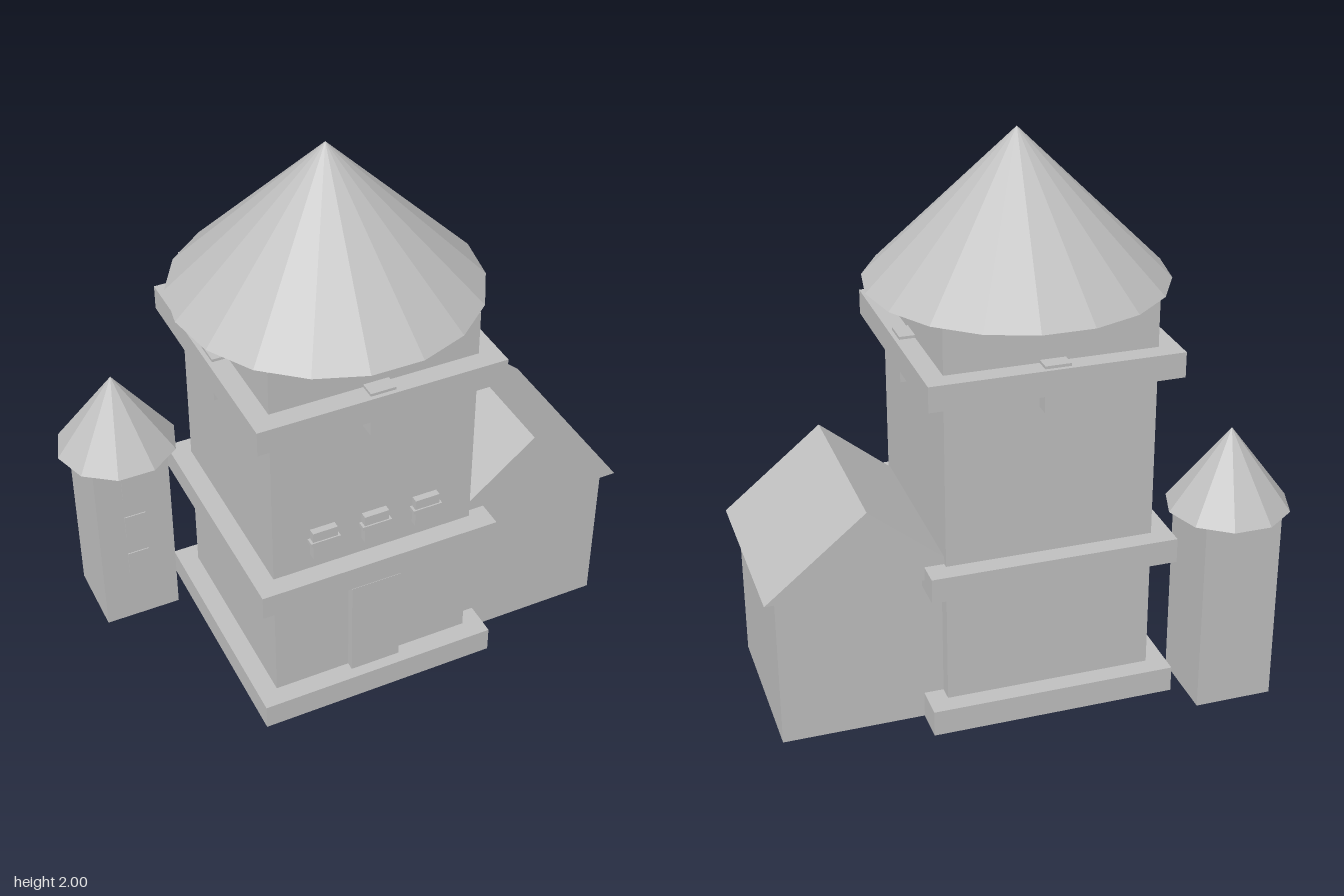
import * as THREE from 'three';

export function createModel() {
  const model = new THREE.Group();
  const stone = new THREE.MeshStandardMaterial({ color: 0xc0c0c0 });
  stone.name = 'grey stone';
  stone.flatShading = true;
  stone.side = THREE.DoubleSide;

  const add = (name, geometry, x, y, z) => {
    const mesh = new THREE.Mesh(geometry, stone);
    mesh.name = name;
    mesh.position.set(x, y, z);
    model.add(mesh);
    return mesh;
  };
  // Box given by its centre in plan, its bottom and its top
  const block = (name, w, d, x, z, y0, y1) =>
    add(name, new THREE.BoxGeometry(w, y1 - y0, d), x, (y0 + y1) / 2, z);
  // Open cone roof with corners on the x axis
  const coneRoof = (name, r, sides, x, z, y0, y1) => {
    const g = new THREE.ConeGeometry(r, y1 - y0, sides, 1, true);
    g.rotateY(Math.PI / 2);
    return add(name, g, x, (y0 + y1) / 2, z);
  };

  const cx = -0.07, cz = 0.06;

  // Main tower with three projecting bands
  block('mainTower', 0.74, 0.74, cx, cz, 0, 1.48);
  [['baseBand', 0, 0.095], ['middleBand', 0.53, 0.62], ['upperBand', 1.23, 1.32]]
    .forEach(([name, y0, y1]) => block(name, 0.88, 0.88, cx, cz, y0, y1));
  coneRoof('mainRoof', 0.525, 18, cx, cz, 1.48, 2);

  // A bracket through the upper band in the middle of each wall
  for (const s of [-1, 1]) {
    block('bracket', 0.09, 0.11, cx, cz + s * 0.37, 1.165, 1.33);
    block('bracket', 0.11, 0.09, cx + s * 0.37, cz, 1.165, 1.33);
  }

  // Door and front windows with cross bars
  block('door', 0.185, 0.06, cx, 0.43, 0.09, 0.485);
  for (const dx of [-0.19, 0, 0.19]) {
    block('window', 0.09, 0.04, cx + dx, 0.435, 0.68, 0.79);
    block('windowBar', 0.108, 0.03, cx + dx, 0.445, 0.738, 0.752);
  }

  // Small side tower
  block('sideTower', 0.28, 0.28, -0.7, -0.36, 0, 0.72);
  coneRoof('sideTowerRoof', 0.218, 10, -0.7, -0.36, 0.72, 1.01);
  for (const y of [0.215, 0.39, 0.57])
    block('sideTowerWindow', 0.08, 0.008, -0.7, -0.22, y, y + 0.095);

  // Annex with a gabled roof, ridge along z
  block('annex', 0.63, 0.63, 0.56, cz, 0, 0.57);
  const gable = new THREE.Shape([
    new THREE.Vector2(-0.355, 0), new THREE.Vector2(0.355, 0), new THREE.Vector2(0, 0.29),
  ]);
  const roof = new THREE.ExtrudeGeometry(gable, { depth: 0.695, bevelEnabled: false });
  add('annexRoof', roof, 0.56, 0.57, -0.29);

  return model;
}
